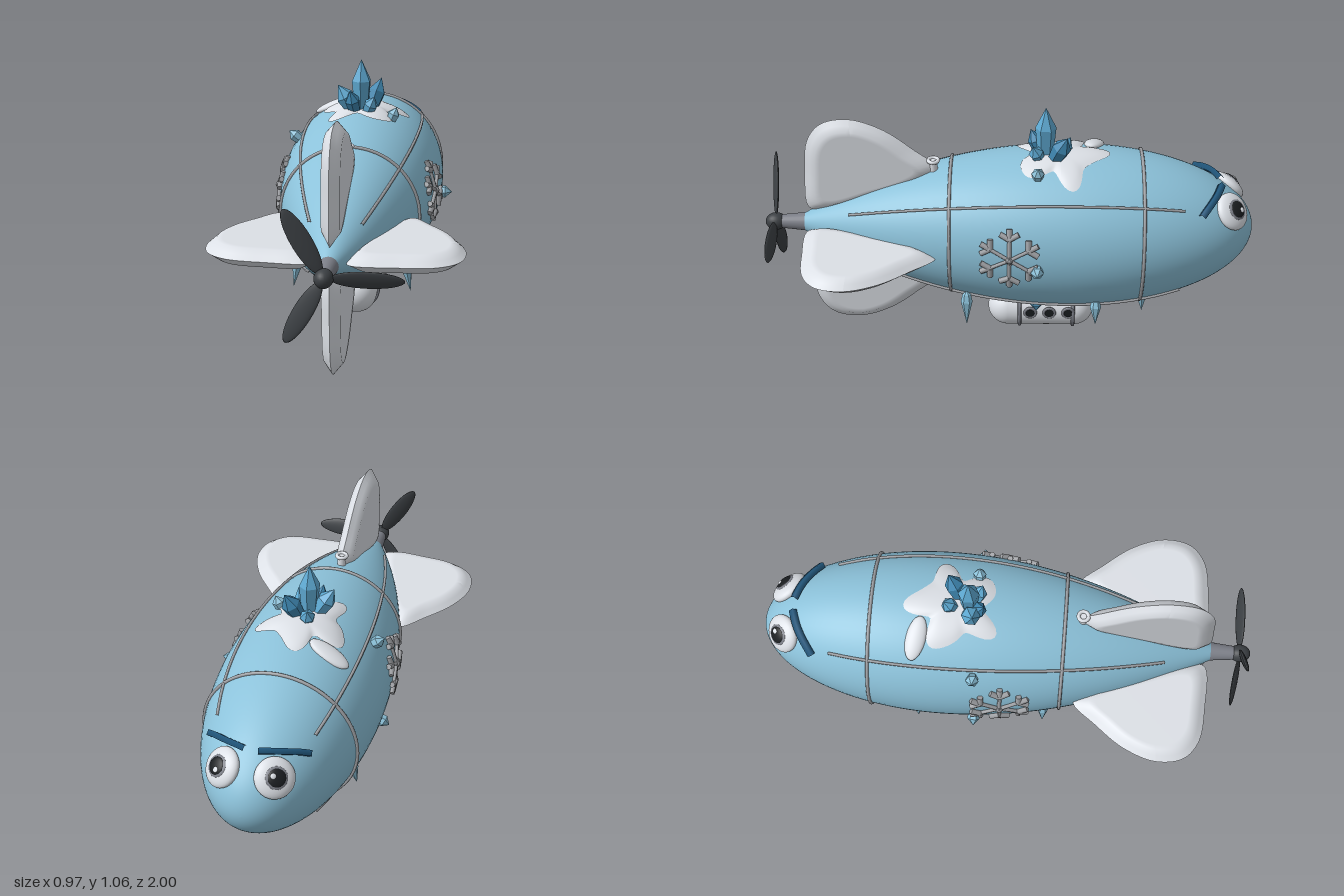
import * as THREE from 'three';
import { mergeGeometries } from 'three/addons/utils/BufferGeometryUtils.js';

const V = (x, y, z) => new THREE.Vector3(x, y, z);
const paint = (name, color) => {
  const m = new THREE.MeshStandardMaterial({ color });
  m.name = name;
  return m;
};

// Hull radius along z: elliptical nose, parabolic tail
const radius = z => z < -0.25
  ? 0.333 * Math.sqrt(Math.max(0, 1 - ((z + 0.25) / 0.75) ** 2))
  : 0.333 * (1 - ((z + 0.25) / 1.15) ** 2);

// Point on the hull (angle counted from +x towards +y), raised by lift
function onHull(angle, z, lift = 0) {
  const r = radius(z) + lift;
  return V(r * Math.cos(angle), r * Math.sin(angle), z);
}

// Faceted six-sided spindle of unit length along +y
function facets(points, sides = 6) {
  const g = new THREE.LatheGeometry(points.map(p => new THREE.Vector2(...p)), sides).toNonIndexed();
  g.computeVertexNormals();
  return g;
}

export function createModel() {
  const blue = paint('hull blue', 0x8cc2da);
  const white = paint('frost white', 0xdce0e6);
  const grey = paint('metal grey', 0xa0a2a6);
  const tailGrey = paint('shaft grey', 0x7c7f88);
  const dark = paint('propeller charcoal', 0x3c4044);
  const black = paint('pupil black', 0x1a1d20);
  const brow = paint('brow blue', 0x235a80);
  const ice = paint('ice blue', 0x5fabd4);
  const deepIce = paint('deep ice blue', 0x3f88b2);
  const snow = paint('snow white', 0xdce0e6);
  snow.side = THREE.DoubleSide;

  const model = new THREE.Group();
  const ship = new THREE.Group();
  ship.name = 'airship';
  ship.position.y = 0.52; // hull axis height
  model.add(ship);

  const add = (name, geo, mat, pos, parent = ship) => {
    const m = new THREE.Mesh(geo, mat);
    m.name = name;
    if (pos) m.position.copy(pos);
    parent.add(m);
    return m;
  };
  const tube = (name, pts, r, mat, sides = 6) =>
    add(name, new THREE.TubeGeometry(new THREE.CatmullRomCurve3(pts), 40, r, sides), mat);
  const between = (name, geo, a, b, r, mat) => {
    const d = b.clone().sub(a), m = add(name, geo, mat, a);
    m.scale.set(r, d.length(), r);
    m.quaternion.setFromUnitVectors(V(0, 1, 0), d.normalize());
    return m;
  };

  // Hull
  const profile = [];
  for (let i = 0; i <= 48; i++) {
    const z = -0.25 - 0.75 * Math.cos(i / 48 * Math.PI / 2);
    profile.push(new THREE.Vector2(radius(z), z));
  }
  for (let i = 1; i <= 30; i++) {
    const z = -0.25 + 1.1 * i / 30;
    profile.push(new THREE.Vector2(radius(z), z));
  }
  add('hull', new THREE.LatheGeometry(profile, 64).rotateX(Math.PI / 2), blue);

  // Hoops and lengthwise ribs
  for (const z of [0.23, -0.54])
    add('hoop', new THREE.TorusGeometry(radius(z) + 0.003, 0.007, 8, 64), grey, V(0, 0, z));
  for (let k = 0; k < 4; k++) {
    const pts = [];
    for (let i = 0; i <= 14; i++) pts.push(onHull(Math.PI / 4 + k * Math.PI / 2, 0.64 - 1.34 * i / 14, 0.004));
    tube('rib', pts, 0.006, grey);
  }

  // Tail fins: outline in (distance from axis, z), puffed with a bevelled rim
  const outline = new THREE.CatmullRomCurve3([
    [0.485, 0.63], [0.465, 0.74], [0.39, 0.8], [0.24, 0.82], [0.07, 0.815], [0.06, 0.76],
    [0.13, 0.55], [0.2, 0.36], [0.26, 0.285], [0.35, 0.38], [0.44, 0.5]
  ].map(p => V(p[0], p[1], 0)), true, 'centripetal');
  const centre = V(0.28, 0.6, 0), around = 64;
  const finHalf = side => {
    const g = new THREE.RingGeometry(0.0001, 1, around, 10), p = g.attributes.position;
    for (let i = 0; i < p.count; i++) {
      const t = Math.hypot(p.getX(i), p.getY(i));
      const f = (i % (around + 1)) / around;
      const q = centre.clone().lerp(outline.getPoint(side > 0 ? f : 1 - f), t);
      p.setXYZ(i, q.x, q.y, side * 0.035 * Math.min(1, (1 - t) / 0.2));
    }
    g.computeVertexNormals();
    return g.rotateX(Math.PI / 2);
  };
  const finGeo = mergeGeometries([finHalf(1), finHalf(-1)]);
  for (let k = 0; k < 4; k++) add('tailFin', finGeo, white).rotation.z = k * Math.PI / 2;

  // Tail shaft and propeller
  add('tailShaft', new THREE.CylinderGeometry(0.028, 0.042, 0.14, 24).rotateX(Math.PI / 2), tailGrey, V(0, 0, 0.86));
  const propeller = new THREE.Group();
  propeller.name = 'propeller';
  propeller.position.z = 0.955;
  ship.add(propeller);
  add('hub', new THREE.SphereGeometry(0.036, 24, 16).scale(1, 1, 1.2), dark, null, propeller);
  const blade = new THREE.SphereGeometry(1, 24, 16).scale(0.135, 0.038, 0.01).rotateX(0.35).translate(0.154, 0, 0);
  for (let k = 0; k < 3; k++) add('blade', blade, dark, null, propeller).rotation.z = k * Math.PI * 2 / 3;

  // Mooring eyelet on the back
  add('eyeletPost', new THREE.CylinderGeometry(0.016, 0.02, 0.07, 16), white, V(0, 0.265, 0.3));
  add('eyeletRing', new THREE.TorusGeometry(0.02, 0.008, 8, 24).rotateX(Math.PI / 2), white, V(0, 0.3, 0.3));

  // Gondola with straps, struts and portholes
  const gy = -0.418;
  add('gondola', new THREE.CapsuleGeometry(0.083, 0.28, 12, 32).rotateX(Math.PI / 2), white, V(0, gy, -0.14));
  for (const z of [-0.05, -0.275])
    add('strap', new THREE.TorusGeometry(0.084, 0.008, 8, 40), tailGrey, V(0, gy, z));
  for (const z of [-0.05, -0.325])
    for (const x of [-0.03, 0.03])
      add('strut', new THREE.CylinderGeometry(0.007, 0.007, 0.09, 8), tailGrey, V(x, -0.335, z));
  for (const s of [1, -1]) for (const z of [-0.095, -0.175, -0.255]) {
    const window = new THREE.Group();
    window.name = 'porthole';
    window.position.set(s * 0.083, gy + 0.018, z);
    window.rotation.y = s * Math.PI / 2;
    ship.add(window);
    add('portholeRim', new THREE.TorusGeometry(0.023, 0.006, 8, 24), tailGrey, null, window);
    add('portholeGlass', new THREE.CircleGeometry(0.022, 24), black, V(0, 0, 0.004), window);
  }

  // Eyes and brows near the nose
  for (const s of [1, -1]) {
    const eye = new THREE.Group();
    eye.name = 'eye';
    eye.position.set(s * 0.1, 0.132, -0.9);
    eye.quaternion.setFromUnitVectors(V(0, 0, 1), V(s * 0.9, 1.19, -1.156).normalize());
    ship.add(eye);
    const ball = (name, r, depth, mat, x, y, z) =>
      add(name, new THREE.SphereGeometry(r, 32, 16).scale(1, 1, depth / r), mat, V(x, y, z), eye);
    ball('eyeWhite', 0.078, 0.034, white, 0, 0, 0);
    ball('iris', 0.043, 0.01, tailGrey, 0, 0, 0.027);
    ball('pupil', 0.035, 0.01, black, 0, 0, 0.031);
    ball('glint', 0.011, 0.005, white, 0.01, 0.013, 0.039);

    const pts = [];
    for (let i = 0; i <= 6; i++) {
      const t = i / 6, x = 0.025 + 0.17 * t, z = -0.86 + 0.09 * t - 0.012 * Math.sin(Math.PI * t);
      pts.push(onHull(Math.acos(s * x / (radius(z) + 0.015)), z, 0.015));
    }
    tube('brow', pts, 0.016, brow, 4);
  }

  // Snowflakes laid on both flanks
  const rod = new THREE.CylinderGeometry(1, 1, 1, 6).translate(0, 0.5, 0);
  for (const s of [1, -1]) {
    const at = (u, v) => {
      const a = 0.12 + v / 0.33;
      return onHull(s > 0 ? a : Math.PI - a, u - 0.01, 0.007);
    };
    for (let k = 0; k < 6; k++) {
      const a = Math.PI / 2 + k * Math.PI / 3, c = Math.cos(a), n = Math.sin(a);
      between('snowflakeArm', rod, at(0, 0), at(0.1 * c, 0.1 * n), 0.008, grey);
      for (const turn of [-1, 0, 1]) {
        const b = a + turn * Math.PI / 3;
        between('snowflakeTip', rod, at(0.088 * c, 0.088 * n),
          at(0.088 * c + 0.043 * Math.cos(b), 0.088 * n + 0.043 * Math.sin(b)), 0.012, grey);
      }
    }
    add('snowflakeCore', new THREE.IcosahedronGeometry(0.018, 0), grey, at(0, 0));
  }

  // Star-shaped snow patch and drift on the back
  const patch = new THREE.RingGeometry(0.0001, 1, 80, 8), pp = patch.attributes.position;
  for (let i = 0; i < pp.count; i++) {
    const x = pp.getX(i), y = pp.getY(i), t = Math.hypot(x, y), a = Math.atan2(y, x) - Math.PI / 2;
    const size = 0.158 + 0.038 * Math.cos(5 * a) + 0.012 * Math.sin(8 * a);
    const q = onHull(Math.PI / 2 - x * size / 0.33, -0.21 - y * size, 0.004 + 0.012 * (1 - t ** 4));
    pp.setXYZ(i, q.x, q.y, q.z);
  }
  patch.computeVertexNormals();
  add('snowPatch', patch, snow);
  const drift = add('snowDrift', new THREE.SphereGeometry(1, 24, 16).scale(0.09, 0.02, 0.04), white, V(-0.14, 0.298, -0.35));
  drift.rotation.set(0, -0.2, 0.42);

  // Ice crystals: crown on top, then a ring around the hull
  const shard = facets([[0, 0], [0.7, 0], [1, 0.62], [0, 1]]);
  between('crownCrystal', shard, V(0, 0.31, -0.15), V(0, 0.545, -0.15), 0.042, ice);
  [[-0.02, -0.15, -0.095, 0.44, -0.13, 0.038, ice], [0.03, -0.18, 0.075, 0.45, -0.235, 0.038, deepIce],
    [-0.02, -0.14, -0.04, 0.425, -0.09, 0.032, deepIce], [0.02, -0.13, 0.06, 0.4, -0.1, 0.03, ice],
    [-0.01, -0.2, -0.02, 0.4, -0.25, 0.03, ice]
  ].forEach(([x, z, tx, ty, tz, r, mat]) =>
    between('crownCrystal', shard, V(x, 0.31, z), V(tx, ty, tz), r, mat));
  for (const deg of [0, 67, 141, 211, 287]) {
    const a = deg * Math.PI / 180;
    between('hullCrystal', shard, onHull(a, -0.12, -0.02), onHull(a, -0.12, 0.055), 0.026, deg === 287 ? ice : blue);
  }

  // Icicles below the flanks and chin
  const icicle = facets([[0, 0], [0.7, 0.1], [1, 0.32], [0, 1]]);
  for (const s of [1, -1]) {
    between('icicle', icicle, V(s * 0.215, -0.19, 0.165), V(s * 0.24, -0.34, 0.165), 0.024, blue);
    between('icicle', icicle, V(s * 0.235, -0.21, -0.36), V(s * 0.262, -0.32, -0.36), 0.023, blue);
    between('icicle', icicle, V(s * 0.045, -0.29, -0.56), V(s * 0.05, -0.405, -0.565), 0.023, blue);
  }
  return model;
}
